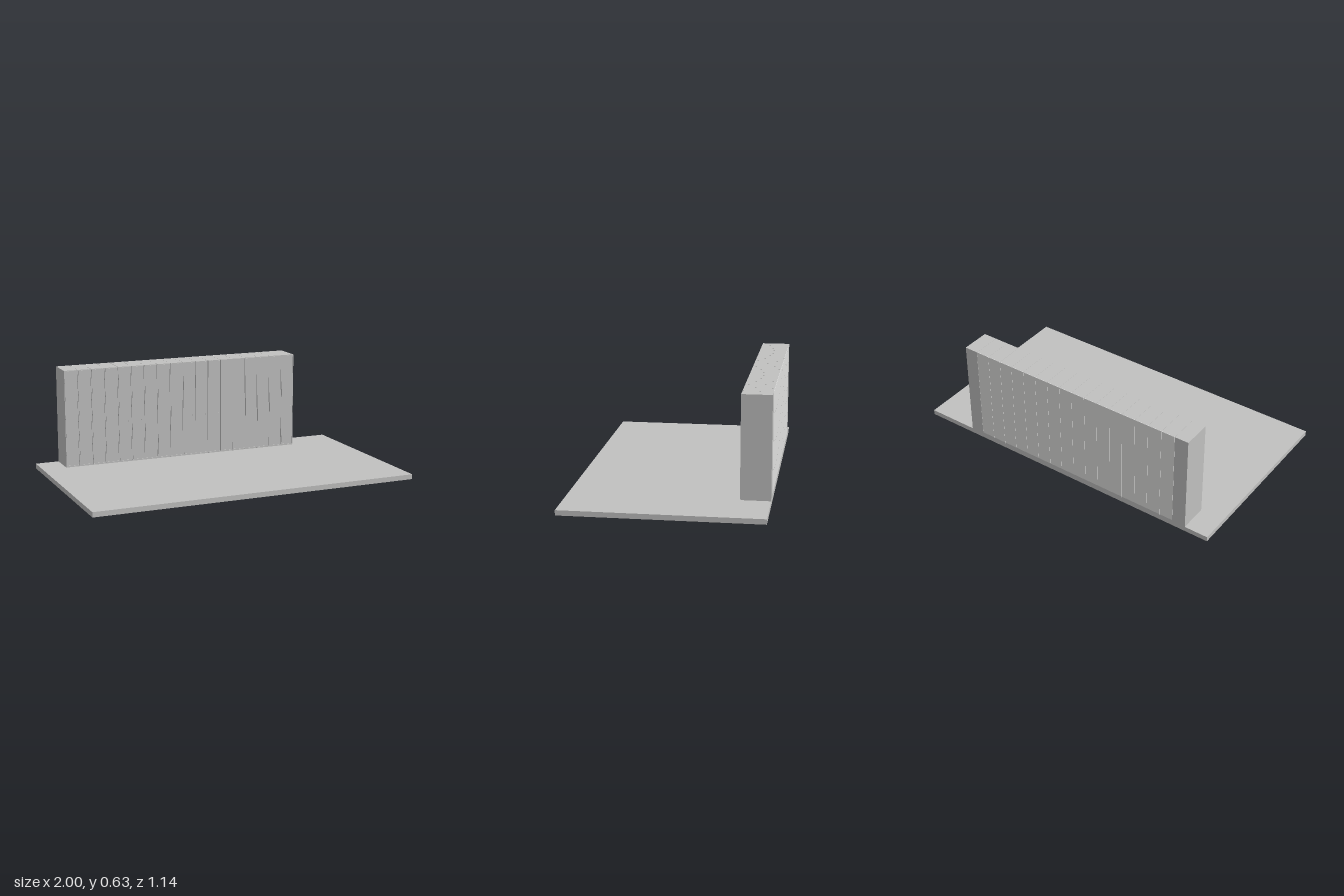
import * as THREE from 'three';

export function createModel() {
  const model = new THREE.Group();
  const material = (name, color) => {
    const m = new THREE.MeshStandardMaterial({ color });
    m.name = name;
    return m;
  };
  const grey = material('light grey', 0xc1c1c0);
  const pale = material('pale grey', 0xe1e1e0);

  // Box given by its lower and upper limits on each axis
  const box = (name, [x0, x1], [y0, y1], [z0, z1], parent, mat = grey) => {
    const mesh = new THREE.Mesh(new THREE.BoxGeometry(x1 - x0, y1 - y0, z1 - z0), mat);
    mesh.name = name;
    mesh.position.set((x0 + x1) / 2, (y0 + y1) / 2, (z0 + z1) / 2);
    parent.add(mesh);
  };

  // Floor slab
  box('floor', [-1, 1], [0, 0.03], [-0.572, 0.572], model);

  // Row of narrow lockers along the back edge, with hairline gaps between them
  const count = 18, start = -0.855, pitch = 1.54 / count, gap = 0.0006, rim = 0.003;
  const bottom = 0.037, top = 0.63, back = -0.572, face = -0.403, front = -0.399;
  for (let i = 0; i < count; i++) {
    const x0 = start + i * pitch + gap, x1 = start + (i + 1) * pitch - gap;
    const locker = new THREE.Group();
    locker.name = 'locker';
    box('plinth', [x0, x1], [0.03, bottom], [back, face], locker);
    box('carcass', [x0, x1], [bottom, top], [back + 0.002, face], locker);

    // Only the inner lockers have a pale back
    const inner = i > 0 && i < count - 1;
    box('backPanel', [x0, x1], [bottom, top], [back, back + 0.002], locker, inner ? pale : grey);

    // Narrow rim around the door
    for (const x of [x0, x1 - rim]) box('stile', [x, x + rim], [bottom, top], [face, front], locker);
    for (const y of [bottom, top - rim]) box('rail', [x0 + rim, x1 - rim], [y, y + rim], [face, front], locker);

    // Door set just behind the rim, with a small knob near its free edge
    box('door', [x0 + rim + 0.001, x1 - rim - 0.001], [bottom + rim + 0.001, top - rim - 0.001], [face, front - 0.001], locker);
    const kx = x1 - 0.018;
    box('knob', [kx - 0.003, kx + 0.003], [0.285, 0.291], [front - 0.001, front], locker);
    model.add(locker);
  }
  return model;
}
